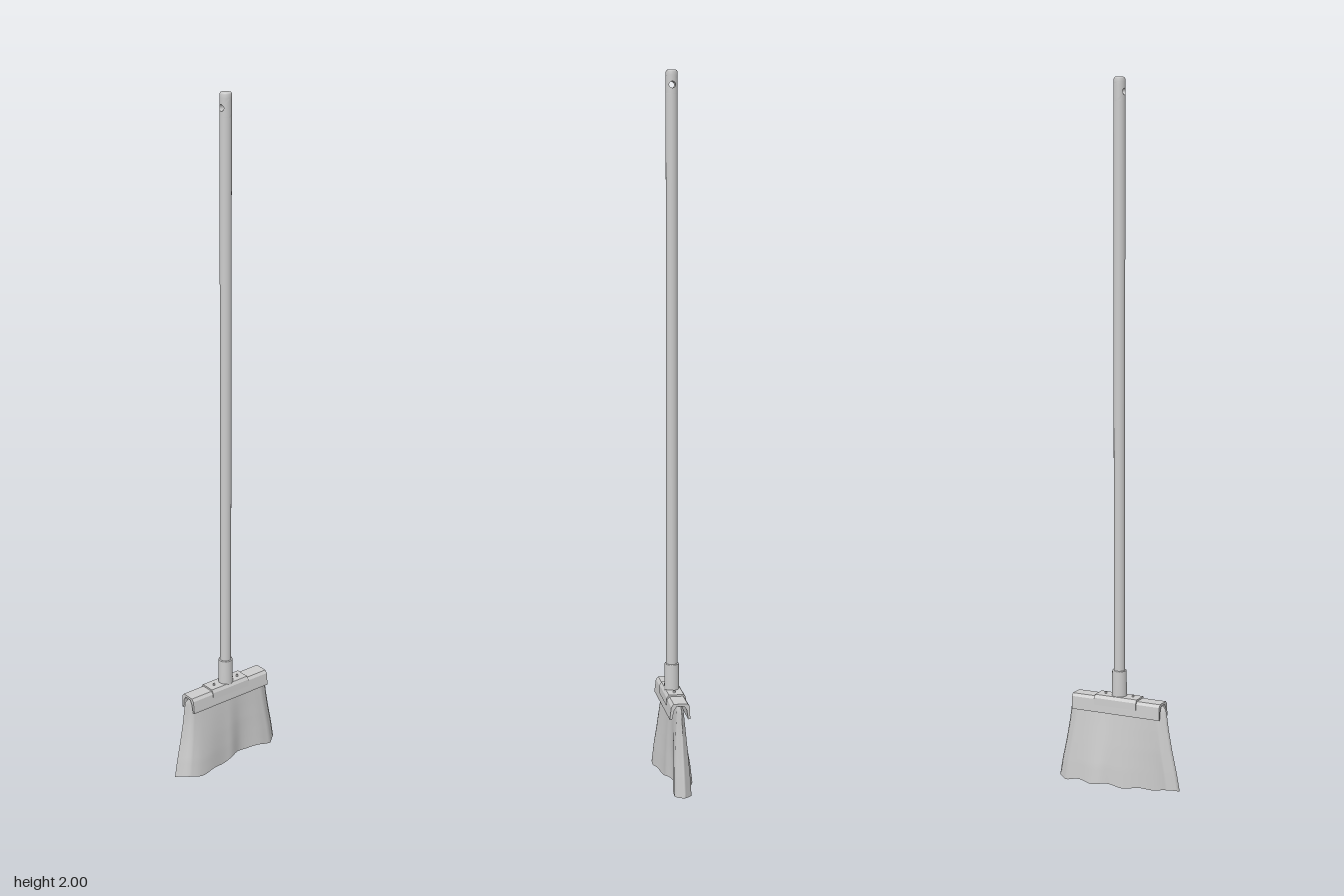
import * as THREE from 'three';
import { mergeVertices } from 'three/addons/utils/BufferGeometryUtils.js';

const grey = new THREE.MeshStandardMaterial({ color: 0xcccccc });
const greyDouble = new THREE.MeshStandardMaterial({ color: 0xcccccc, side: THREE.DoubleSide });
const Z = 0.004; // depth of the pole axis
const R = 0.016; // pole radius

// Smooth surface through f(u, v); its front is du x dv
function surface(nu, nv, f) {
  const pos = [], index = [];
  for (let j = 0; j <= nv; j++)
    for (let i = 0; i <= nu; i++) pos.push(...f(i / nu, j / nv));
  for (let j = 0; j < nv; j++)
    for (let i = 0; i < nu; i++) {
      const a = j * (nu + 1) + i, d = a + nu + 1;
      index.push(a, a + 1, d + 1, a, d + 1, d);
    }
  let g = new THREE.BufferGeometry();
  g.setAttribute('position', new THREE.Float32BufferAttribute(pos, 3));
  g.setIndex(index);
  g = mergeVertices(g, 1e-5);
  g.computeVertexNormals();
  return g;
}

// Eased interpolation in rows of [key, values...]
function lookup(rows, k, ease = t => t) {
  let i = 0;
  while (i < rows.length - 2 && k > rows[i + 1][0]) i++;
  const [a, b] = [rows[i], rows[i + 1]];
  const t = ease(THREE.MathUtils.clamp((k - a[0]) / (b[0] - a[0]), 0, 1));
  return a.map((v, n) => v + (b[n] - v) * t);
}

function add(parent, name, geometry, x = 0, y = 0, z = 0, material = grey) {
  const mesh = new THREE.Mesh(geometry, material);
  mesh.name = name;
  mesh.position.set(x, y, z);
  parent.add(mesh);
  return mesh;
}

function makePole() {
  const pole = new THREE.Group();
  pole.name = 'pole';
  const holeY = 1.96, holeR = 0.009, halfH = 0.025;

  // Long shaft below the hanging hole
  const bottom = 0.265, top = holeY - halfH;
  add(pole, 'shaft', new THREE.CylinderGeometry(R, R, top - bottom, 32, 1, true), 0, (top + bottom) / 2, Z);

  // Two half shells, each spreading from the hole to a rectangle bent round the pole
  const shell = surface(48, 6, (u, v) => {
    const a = u * Math.PI * 2, c = Math.cos(a), s = Math.sin(a);
    const m = Math.max(Math.abs(c), Math.abs(s));
    const ang = THREE.MathUtils.lerp(Math.asin(holeR * c / R), c / m * Math.PI / 2, v);
    const y = THREE.MathUtils.lerp(holeR * s, s / m * halfH, v);
    return [R * Math.cos(ang), y, R * Math.sin(ang)];
  });
  add(pole, 'holeShellLeft', shell, 0, holeY, Z);
  add(pole, 'holeShellRight', shell, 0, holeY, Z).rotation.y = Math.PI;

  // Lining of the hanging hole
  add(pole, 'hangingHole', surface(48, 1, (u, v) => {
    const a = u * Math.PI * 2, z = holeR * Math.cos(a);
    return [(v * 2 - 1) * Math.sqrt(R * R - z * z), holeR * Math.sin(a), z];
  }), 0, holeY, Z);

  // Slightly rounded tip
  const tip = [[R, holeY + halfH], [R, 1.995], [R - 0.002, 1.999], [R - 0.005, 2], [0, 2]];
  add(pole, 'poleTip', new THREE.LatheGeometry(tip.map(p => new THREE.Vector2(...p)), 32), 0, 0, Z);
  return pole;
}

function makeHead() {
  const head = new THREE.Group();
  head.name = 'head';

  // Profile in (z, y), swept along x
  const sweep = (points, length) => {
    const shape = new THREE.Shape(points.map(p => new THREE.Vector2(-p[0], p[1])));
    const g = new THREE.ExtrudeGeometry(shape, { depth: length, bevelEnabled: false });
    return g.translate(0, 0, -length / 2).rotateY(Math.PI / 2);
  };

  // Open-ended channel that grips the bristles
  add(head, 'channel', sweep([
    [0.032, 0.217], [0.032, 0.222], [0.028, 0.254], [0.021, 0.262], [-0.018, 0.262], [-0.024, 0.254],
    [-0.026, 0.217], [-0.020, 0.217], [-0.016, 0.244], [-0.009, 0.255], [0.013, 0.255],
    [0.020, 0.244], [0.026, 0.217],
  ], 0.276));

  // Raised middle plate
  add(head, 'middlePlate', sweep([
    [0.031, 0.238], [0.029, 0.258], [0.023, 0.267], [-0.020, 0.267], [-0.026, 0.258], [-0.0265, 0.238],
  ], 0.132));

  // Socket for the pole, open at the top rim
  const socket = [[0.0215, 0.26], [0.0205, 0.339], [0.0198, 0.341], [0.0158, 0.341]];
  add(head, 'socket', new THREE.LatheGeometry(socket.map(p => new THREE.Vector2(...p)), 32), 0, 0, Z, greyDouble);

  for (const side of [1, -1])
    add(head, 'screw', new THREE.CylinderGeometry(0.0032, 0.0035, 0.008, 12), side * 0.043, 0.269, Z);
  return head;
}

function makeBristles() {
  const bristles = new THREE.Group();
  bristles.name = 'bristles';
  // height, half width, half thickness, amount of wave
  const levels = [
    [0.008, 0.190, 0.027, 1], [0.06, 0.181, 0.025, 0.8], [0.12, 0.168, 0.021, 0.5],
    [0.18, 0.157, 0.016, 0.25], [0.225, 0.151, 0.012, 0.1], [0.245, 0.147, 0.010, 0], [0.254, 0.138, 0.006, 0],
  ];
  // Sideways drift of the sheet along its width
  const drift = [[-1, 0.003], [-0.65, 0.017], [0, -0.004], [0.3, -0.020], [0.72, -0.003], [1, -0.002]];
  const smooth = t => t * t * (3 - 2 * t);

  // Flat outline with pointed ends, u running around it
  const outline = (u, row) => {
    const k = u * 4 % 4;
    const s = k < 2 ? 1 - k : k - 3;
    const thick = Math.min(1, (1 - Math.abs(s)) / 0.16) * (1 - 0.12 * smooth(Math.abs(s)));
    const z = (k < 2 ? -1 : 1) * thick * row[2] + lookup(drift, s, smooth)[1] * row[3];
    return [s * row[1], s, z];
  };
  const hem = (s, side) => 0.006 * Math.sin(s * 9 + side) * Math.cos(s * 4);

  add(bristles, 'bristleSides', surface(100, 24, (u, v) => {
    const row = lookup(levels, 0.008 + v * 0.246);
    const [x, s, z] = outline(u, row);
    return [x, row[0] + hem(s, u < 0.5 ? 0 : 0.0) * row[3], z + 0.001];
  }), 0, 0, 0, greyDouble);

  // Closed ends; the underside is slightly hollow
  add(bristles, 'bristleUnderside', surface(100, 5, (u, v) => {
    const [x, s, z] = outline(u, levels[0]);
    const mid = lookup(drift, s, smooth)[1];
    return [x, 0.008 + hem(s, 0) + 0.008 * (1 - v * v) * (1 - s * s), mid + (z - mid) * v + 0.001];
  }), 0, 0, 0, greyDouble);
  const last = levels[levels.length - 1];
  add(bristles, 'bristleTop', surface(100, 1, (u, v) => {
    const [x, , z] = outline(u, last);
    return [x, last[0], z * (1 - v) + 0.001];
  }), 0, 0, 0, greyDouble);
  return bristles;
}

export function createModel() {
  const broom = new THREE.Group();
  broom.name = 'broom';
  broom.add(makePole(), makeHead(), makeBristles());
  return broom;
}
